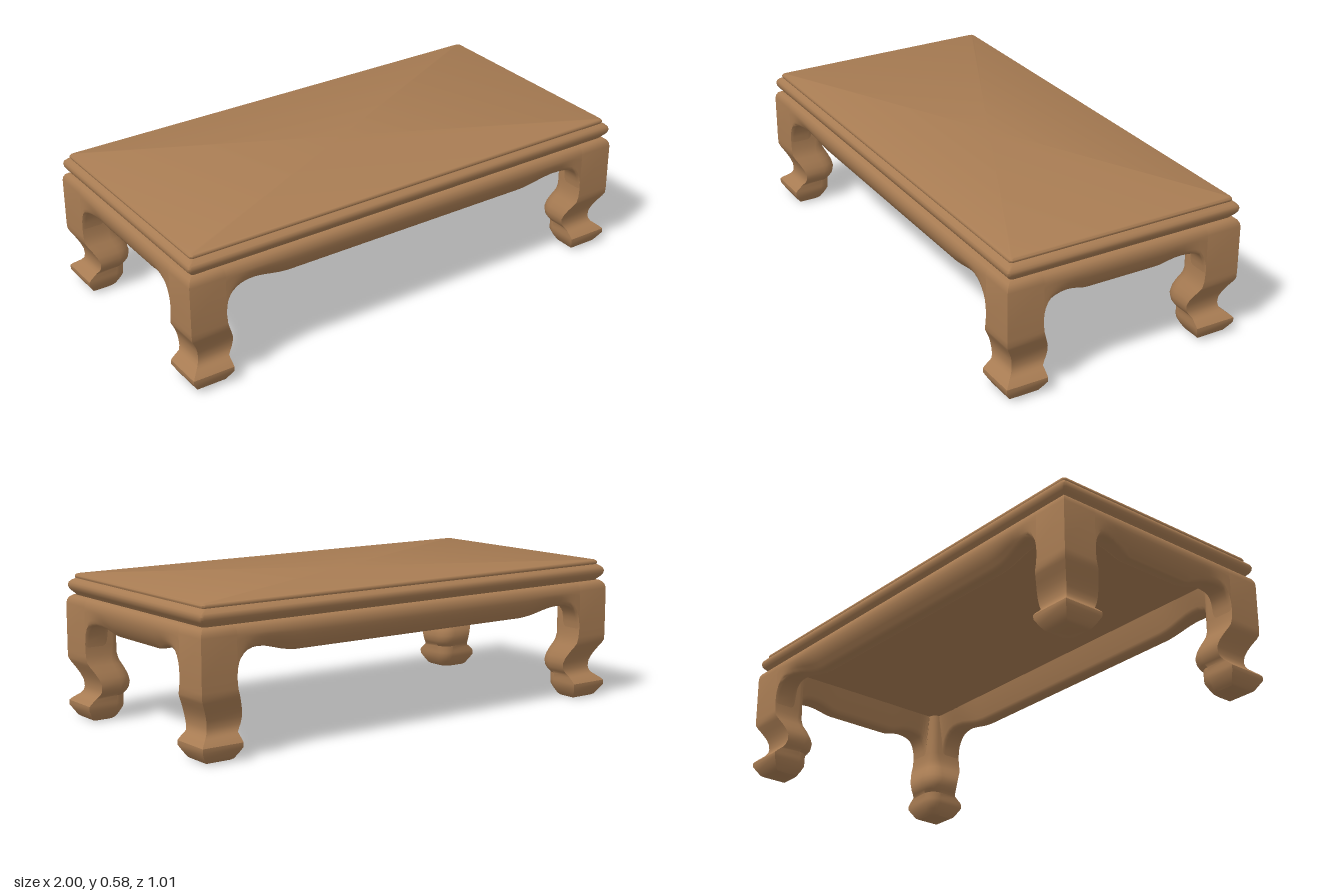
import * as THREE from 'three';
import { toCreasedNormals } from 'three/addons/utils/BufferGeometryUtils.js';

const HALF_X = 1.0, HALF_Z = 0.505;

// Skin a list of closed rings of [x, y, z]; rings run anticlockwise seen from the loft's end
function loft(rings, capped, crease = 0.7) {
  const n = rings[0].length;
  const pos = rings.flat(2), index = [];
  for (let j = 0; j < rings.length - 1; j++) {
    for (let i = 0; i < n; i++) {
      const k = (i + 1) % n;
      const a = j * n + i, b = j * n + k, c = b + n, d = a + n;
      index.push(a, b, c, a, c, d);
    }
  }
  if (capped) {
    [0, rings.length - 1].forEach((r, end) => {
      const centre = [0, 1, 2].map(m => rings[r].reduce((s, p) => s + p[m], 0) / n);
      const ci = pos.length / 3;
      pos.push(...centre);
      for (let i = 0; i < n; i++) {
        const a = r * n + i, b = r * n + (i + 1) % n;
        if (end) index.push(ci, a, b); else index.push(ci, b, a);
      }
    });
  }
  const g = new THREE.BufferGeometry();
  g.setAttribute('position', new THREE.Float32BufferAttribute(pos, 3));
  g.setIndex(index);
  return toCreasedNormals(g, crease);
}

// Moulded table top: stacked rounded rectangles, [y, inset from the outer size]
function topGeometry() {
  const profile = [
    [0.485, 0.035], [0.498, 0.026], [0.505, 0.02], [0.513, 0.012], [0.524, 0.005], [0.536, 0.003],
    [0.546, 0.006], [0.554, 0.014], [0.559, 0.022], [0.562, 0.026],
    [0.566, 0.024], [0.572, 0.024], [0.577, 0.027], [0.58, 0.032],
  ];
  const r = 0.012;
  const corners = [[1, 1, -90], [1, -1, 0], [-1, -1, 90], [-1, 1, 180]];
  return loft(profile.map(([y, inset]) => {
    const ring = [];
    for (const [sx, sz, start] of corners) {
      for (let s = 0; s <= 3; s++) {
        const t = THREE.MathUtils.degToRad(start + s * 30);
        ring.push([
          sx * (HALF_X - inset - r) + r * Math.cos(t), y,
          sz * (HALF_Z - inset - r) - r * Math.sin(t),
        ]);
      }
    }
    return ring;
  }), true);
}

// Scrolled leg, its outer corner at the origin: [y, outer edge, inner edge, inner corner radius]
function legGeometry() {
  const profile = [
    [0, -0.036, -0.14, 0.04], [0.006, -0.026, -0.147, 0.04], [0.025, -0.014, -0.159, 0.045],
    [0.048, 0, -0.171, 0.05], [0.066, 0, -0.172, 0.05], [0.075, -0.008, -0.172, 0.05],
    [0.09, -0.026, -0.172, 0.05], [0.098, -0.036, -0.172, 0.05], [0.11, -0.044, -0.182, 0.055],
    [0.125, -0.047, -0.191, 0.06], [0.15, -0.045, -0.196, 0.065], [0.175, -0.036, -0.191, 0.065],
    [0.2, -0.023, -0.18, 0.06], [0.225, -0.008, -0.167, 0.055], [0.24, -0.001, -0.16, 0.05],
    [0.265, 0, -0.153, 0.04], [0.3, 0, -0.15, 0.03], [0.46, 0, -0.15, 0.03],
    [0.475, -0.003, -0.15, 0.03], [0.487, -0.01, -0.15, 0.03], [0.495, -0.022, -0.15, 0.03],
  ];
  return loft(profile.map(([y, o, i, r]) => {
    const ring = [[o, y, o], [o, y, i]];
    for (let s = 0; s <= 5; s++) {
      const t = s * Math.PI / 10;
      ring.push([i + r - r * Math.sin(t), y, i + r - r * Math.cos(t)]);
    }
    ring.push([i, y, o]);
    return ring;
  }), true);
}

// Apron facing +z with its outer face at z = 0; edge lists [distance from end, bottom y]
function apronGeometry(half, edge) {
  const section = (x, e, yb) => {
    const k = 0.035 * THREE.MathUtils.smoothstep(e, 0.15, 0.4);
    const pts = [[0.495, 0.022], [0.487, 0.01], [0.475, 0.003], [0.46, 0]];
    for (let s = 1; s <= 5; s++) {
      const t = s / 5;
      pts.push([THREE.MathUtils.lerp(0.46, yb + 0.012, t), k * t * t]);
    }
    pts.push([yb + 0.003, k + 0.006], [yb, k + 0.015], [yb, 0.08], [yb + 0.006, 0.09],
      [yb + 0.02, 0.096], [0.495, 0.12]);
    return pts.map(([y, depth]) => [x, y, -depth]);
  };
  const left = edge.map(([e, y]) => section(-half + e, e, y));
  const right = edge.map(([e, y]) => section(half - e, e, y)).reverse();
  return loft([...left, ...right], false);
}

export function createModel() {
  const model = new THREE.Group();
  model.name = 'lowTable';
  const wood = new THREE.MeshStandardMaterial({ color: 0xa87c53 });
  wood.name = 'warm wood';
  const add = (name, geometry, x, z, turn) => {
    const mesh = new THREE.Mesh(geometry, wood);
    mesh.name = name;
    mesh.position.set(x, 0, z);
    mesh.rotation.y = turn * Math.PI / 2;
    model.add(mesh);
  };

  add('tableTop', topGeometry(), 0, 0, 0);

  // Four legs, each turned so its sharp corner points outward
  const leg = legGeometry();
  add('frontLeftLeg', leg, HALF_X, HALF_Z, 0);
  add('backLeftLeg', leg, HALF_X, -HALF_Z, 1);
  add('backRightLeg', leg, -HALF_X, -HALF_Z, 2);
  add('frontRightLeg', leg, -HALF_X, HALF_Z, 3);

  // Arched aprons between the legs
  const arch = [[0.15, 0.3], [0.152, 0.325], [0.157, 0.347], [0.167, 0.368], [0.182, 0.385]];
  const longApron = apronGeometry(HALF_X, [...arch,
    [0.2, 0.397], [0.225, 0.404], [0.255, 0.405], [0.29, 0.401], [0.33, 0.391],
    [0.37, 0.38], [0.4, 0.374], [0.44, 0.37]]);
  const shortApron = apronGeometry(HALF_Z, [...arch,
    [0.2, 0.392], [0.225, 0.396], [0.255, 0.395], [0.285, 0.389],
    [0.315, 0.379], [0.335, 0.372], [0.36, 0.368]]);
  add('frontApron', longApron, 0, HALF_Z, 0);
  add('leftApron', shortApron, HALF_X, 0, 1);
  add('backApron', longApron, 0, -HALF_Z, 2);
  add('rightApron', shortApron, -HALF_X, 0, 3);

  return model;
}
